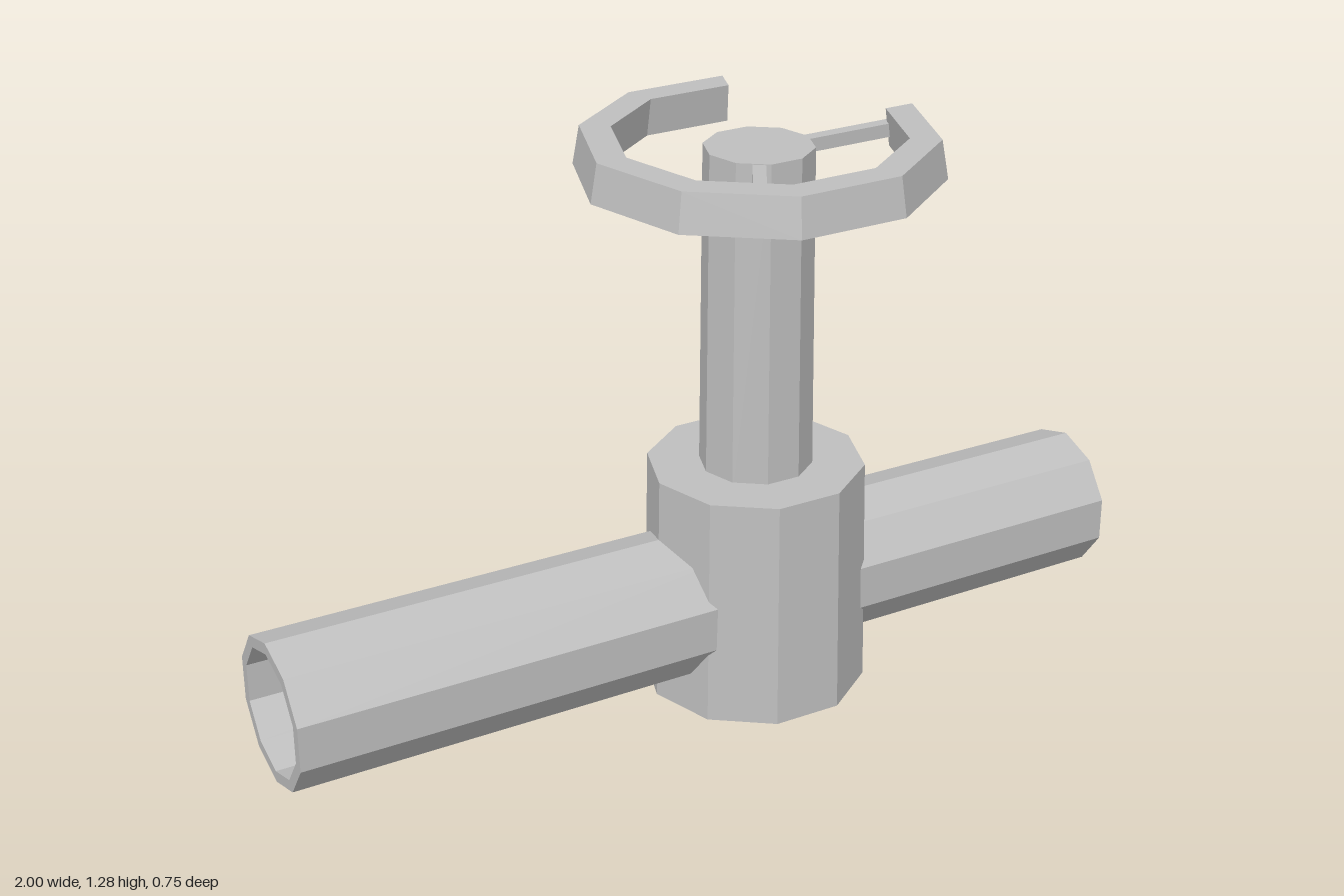
import * as THREE from 'three';

const SIDES = 10;
const STEP = (Math.PI * 2) / SIDES;
const AXIS_X = 0.147; // vertical axis shared by body, stem and handwheel

export function createModel() {
  const model = new THREE.Group();
  const grey = new THREE.MeshStandardMaterial({ color: 0xbfbfbf, flatShading: true, side: THREE.DoubleSide });
  grey.name = 'grey metal';

  function add(name, geometry, parent = model) {
    const mesh = new THREE.Mesh(geometry, grey);
    mesh.name = name;
    parent.add(mesh);
    return mesh;
  }

  // Upright tapered ten-sided column with corners on the x axis
  function column(name, rTop, rBottom, y0, y1) {
    const geometry = new THREE.CylinderGeometry(rTop, rBottom, y1 - y0, SIDES, 1, false, Math.PI / 2);
    add(name, geometry).position.set(AXIS_X, (y0 + y1) / 2, 0);
  }

  // Thick-walled ring around y, swept over a number of sides; open rings get end faces
  function hollowRing(name, profile, start, sides) {
    const group = new THREE.Group();
    group.name = name;
    const points = profile.map(([r, y]) => new THREE.Vector2(r, y));
    const length = sides * STEP;
    add(name + 'Wall', new THREE.LatheGeometry([...points, points[0].clone()], sides, start, length), group);
    if (sides < SIDES) {
      for (const phi of [start, start + length]) {
        const cap = new THREE.ShapeGeometry(new THREE.Shape(points));
        add(name + 'End', cap, group).rotation.y = phi - Math.PI / 2;
      }
    }
    model.add(group);
    return group;
  }

  // Valve body and stem
  column('body', 0.24, 0.25, 0, 0.53);
  column('stem', 0.118, 0.125, 0.5, 1.257);

  // Horizontal pipes with one continuous taper; the +x pipe has an open strip underneath
  function pipe(name, x0, x1, start, sides) {
    const outer = (x) => 0.1635 - 0.0035 * x;
    const inner = (x) => 0.138 - 0.003 * x;
    const profile = [[inner(x0), x0], [outer(x0), x0], [outer(x1), x1], [inner(x1), x1]];
    const group = hollowRing(name, profile, start, sides);
    group.rotation.z = -Math.PI / 2;
    group.position.y = 0.228;
  }
  pipe('rightPipe', -1, 0.02, Math.PI / 2, SIDES);
  pipe('leftPipe', 0.29, 1, Math.PI / 2 + STEP, SIDES - 1);

  // Broken handwheel rim, two sides missing
  const rim = [[0.322, 1.2], [0.392, 1.2], [0.377, 1.285], [0.31, 1.285]];
  hollowRing('handwheelRim', rim, Math.PI / 2 - 8 * STEP, 8).position.x = AXIS_X;

  // Two remaining spokes
  for (const angle of [0, (-Math.PI * 2) / 3]) {
    const geometry = new THREE.BoxGeometry(0.355, 0.03, 0.028);
    geometry.translate(0.1775, 0, 0);
    const spoke = add('handwheelSpoke', geometry);
    spoke.position.set(AXIS_X, 1.24, 0);
    spoke.rotation.y = angle;
  }

  return model;
}
